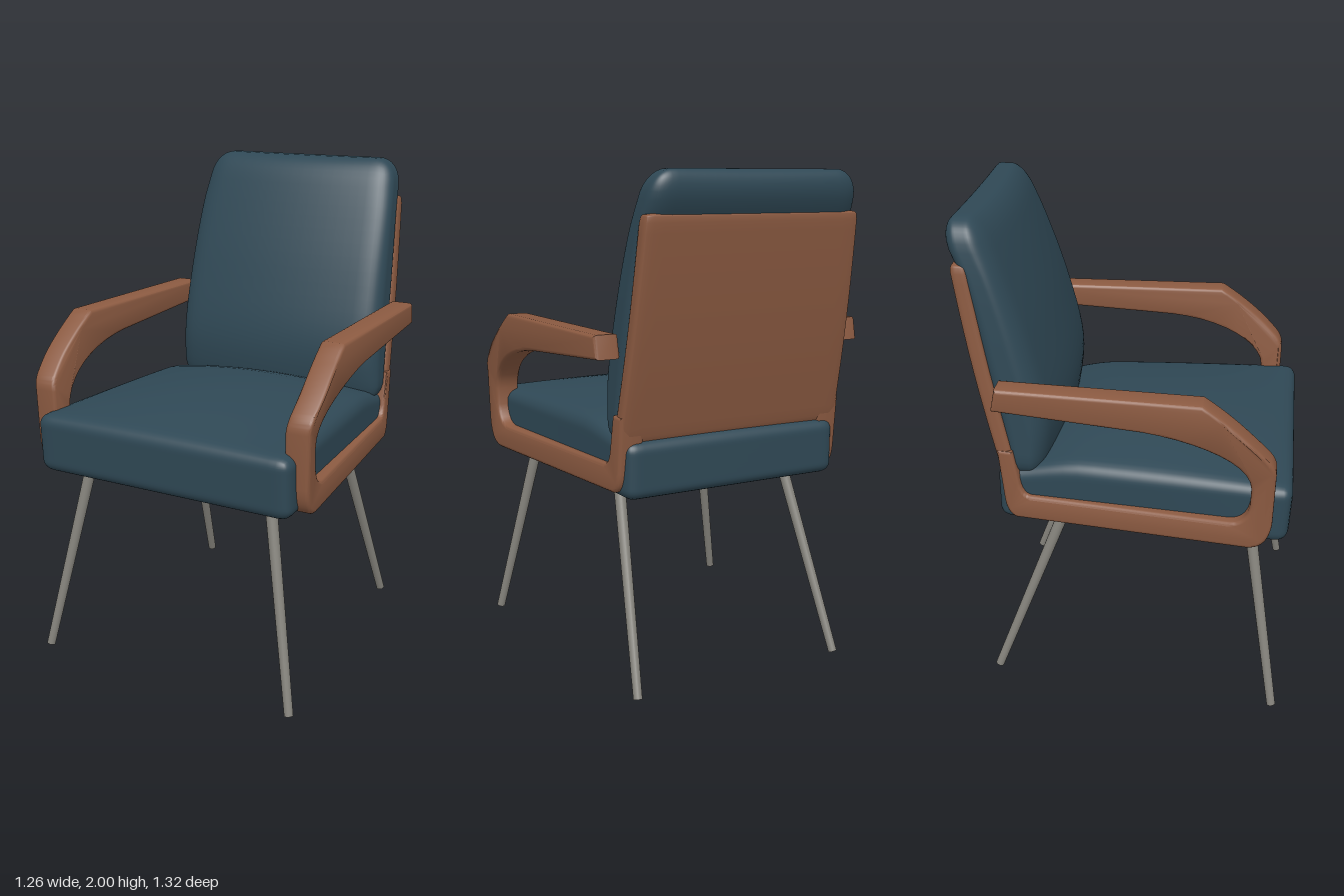
import * as THREE from 'three';
import { mergeVertices, toCreasedNormals } from 'three/addons/utils/BufferGeometryUtils.js';

const mat = (name, color) => Object.assign(new THREE.MeshStandardMaterial({ color }), { name });
const { lerp, smoothstep, clamp } = THREE.MathUtils;

// Moves every vertex of a geometry by a rule
function reshape(geo, rule) {
  const pos = geo.attributes.position;
  const p = new THREE.Vector3();
  for (let i = 0; i < pos.count; i++) {
    p.fromBufferAttribute(pos, i);
    rule(p);
    pos.setXYZ(i, p.x, p.y, p.z);
  }
  return geo;
}

// Rounded, finely divided box (half sizes hx, hy, hz), then bent by a rule
function softBox(hx, hy, hz, r, n, rule) {
  const geo = new THREE.BoxGeometry(2, 2, 2, n, n, n);
  const inner = new THREE.Vector3();
  const ease = (u) => Math.sin(u * Math.PI / 2); // denser rows near the edges
  reshape(geo, (p) => {
    p.set(ease(p.x) * hx, ease(p.y) * hy, ease(p.z) * hz);
    inner.set(clamp(p.x, r - hx, hx - r), clamp(p.y, r - hy, hy - r), clamp(p.z, r - hz, hz - r));
    p.sub(inner).setLength(r).add(inner);
    rule(p);
  });
  geo.deleteAttribute('uv');
  geo.deleteAttribute('normal');
  const merged = mergeVertices(geo, 1e-5);
  merged.computeVertexNormals();
  return merged;
}

// Piecewise linear lookup in [input, output] pairs
function table(pairs, v) {
  for (let i = 1; i < pairs.length; i++) {
    const [a, fa] = pairs[i - 1], [b, fb] = pairs[i];
    if (v <= b || i === pairs.length - 1) return lerp(fa, fb, clamp((v - a) / (b - a), 0, 1));
  }
}

// Smooth curve through [input, output] pairs
function smoothTable(pairs) {
  const pts = new THREE.CatmullRomCurve3(pairs.map(([a, b]) => new THREE.Vector3(a, b, 0)))
    .getPoints(40).map((p) => [p.x, p.y]);
  return (v) => table(pts, v);
}

// Side outline of one arm loop, drawn with shape x = -z
function armShape() {
  const s = new THREE.Shape();
  s.moveTo(0.42, 0.8);
  s.lineTo(-0.5, 0.8);
  s.quadraticCurveTo(-0.585, 0.805, -0.595, 0.92);
  s.lineTo(-0.6, 1.13);
  s.quadraticCurveTo(-0.6, 1.17, -0.565, 1.205);
  s.quadraticCurveTo(-0.46, 1.32, -0.32, 1.41);
  s.lineTo(0.46, 1.41);
  s.lineTo(0.478, 1.32);
  s.lineTo(-0.1, 1.282);
  s.bezierCurveTo(-0.32, 1.26, -0.505, 1.17, -0.51, 1.06);
  s.lineTo(-0.508, 0.99);
  s.quadraticCurveTo(-0.495, 0.905, -0.42, 0.905);
  s.lineTo(0.36, 0.905);
  s.quadraticCurveTo(0.39, 0.91, 0.4, 0.96);
  s.lineTo(0.425, 1.1);
  s.lineTo(0.488, 1.1);
  s.lineTo(0.468, 0.88);
  s.quadraticCurveTo(0.46, 0.81, 0.42, 0.8);
  return s;
}

// Arm loop: rail and armrest flare outward by different amounts
function armGeometry(side) {
  const b = 0.014, width = 0.1;
  const geo = new THREE.ExtrudeGeometry(armShape(), {
    depth: width - 2 * b, bevelSize: b, bevelThickness: b, bevelOffset: -b, bevelSegments: 3, curveSegments: 10,
  });
  geo.rotateY(Math.PI / 2);
  reshape(geo, (p) => {
    const t = (p.x + b) / width;
    const low = 0.5 + (p.z + 0.45) * 0.11;
    const high = 0.59 + (p.z + 0.48) * 0.043;
    const outer = lerp(low, high, smoothstep(p.y, 1.08, 1.28));
    p.x = side * (outer - width * (side > 0 ? 1 - t : t));
  });
  return toCreasedNormals(geo, 0.6);
}

// Round tapered leg between two points
function legGeometry(top, foot) {
  const geo = new THREE.CylinderGeometry(0.024, 0.018, top.distanceTo(foot), 16);
  const dir = top.clone().sub(foot).normalize();
  geo.applyQuaternion(new THREE.Quaternion().setFromUnitVectors(new THREE.Vector3(0, 1, 0), dir));
  const mid = top.clone().add(foot).multiplyScalar(0.5);
  return geo.translate(mid.x, mid.y, mid.z);
}

export function createModel() {
  const group = new THREE.Group();
  group.name = 'armchair';
  const fabric = mat('blue grey fabric', 0x2f4855);
  const wood = mat('brown wood', 0x8b5a41);
  const metal = mat('grey metal', 0x85837c);
  const add = (name, geo, material) => {
    const mesh = new THREE.Mesh(geo, material);
    mesh.name = name;
    group.add(mesh);
  };

  // Seat cushion: wider at the front, with a domed top
  add('seatCushion', softBox(0.5, 0.13, 0.585, 0.05, 28, (p) => {
    const u = p.x / 0.5, v = (p.y / 0.13 + 1) / 2, w = p.z / 0.585;
    const top = 1.05 + 0.062 * (1 - u * u) * (1 - w * w) - 0.05 * smoothstep(-w, 0.4, 1);
    const bottom = lerp(0.773, 0.803, (w + 1) / 2);
    p.x = u * lerp(0.475, 0.572, (w + 1) / 2);
    p.y = lerp(bottom, top, v);
    p.z += 0.085 - 0.012 * (1 - v) * Math.max(w, 0);
  }), fabric);

  // Back cushion: leaning, thick at the lumbar, rolled over the panel top
  const front = smoothTable([[0.97, -0.29], [1.2, -0.265], [1.5, -0.325], [1.8, -0.42], [2, -0.5]]);
  const rear = smoothTable([[0.97, -0.44], [1.4, -0.525], [1.8, -0.605], [1.88, -0.645], [2, -0.668]]);
  const half = smoothTable([[0.97, 0.49], [1.4, 0.482], [1.8, 0.46], [2, 0.435]]);
  add('backCushion', softBox(0.48, 0.515, 0.13, 0.09, 28, (p) => {
    const u = p.x / 0.48, s = (p.z / 0.13 + 1) / 2;
    p.y += 1.485;
    p.x = u * half(p.y);
    p.z = lerp(rear(p.y), front(p.y) - 0.04 * u * u, s);
  }), fabric);

  // Leaning back panel
  add('backPanel', softBox(0.49, 0.43, 0.035, 0.025, 16, (p) => {
    p.y += 1.415;
    const t = (p.y - 0.985) / 0.86;
    p.x *= lerp(1.015, 0.945, t);
    p.z += lerp(-0.437, -0.6, t) - 0.012 * Math.sin(Math.PI * t);
  }), wood);

  // Arms and legs on both sides
  for (const side of [1, -1]) {
    const label = side > 0 ? 'left' : 'right';
    add(label + 'ArmFrame', armGeometry(side), wood);
    add(label + 'FrontLeg', legGeometry(
      new THREE.Vector3(side * 0.415, 0.82, 0.505), new THREE.Vector3(side * 0.572, 0.004, 0.64)), metal);
    add(label + 'RearLeg', legGeometry(
      new THREE.Vector3(side * 0.382, 0.82, -0.23), new THREE.Vector3(side * 0.464, 0.004, -0.545)), metal);
  }
  return group;
}
